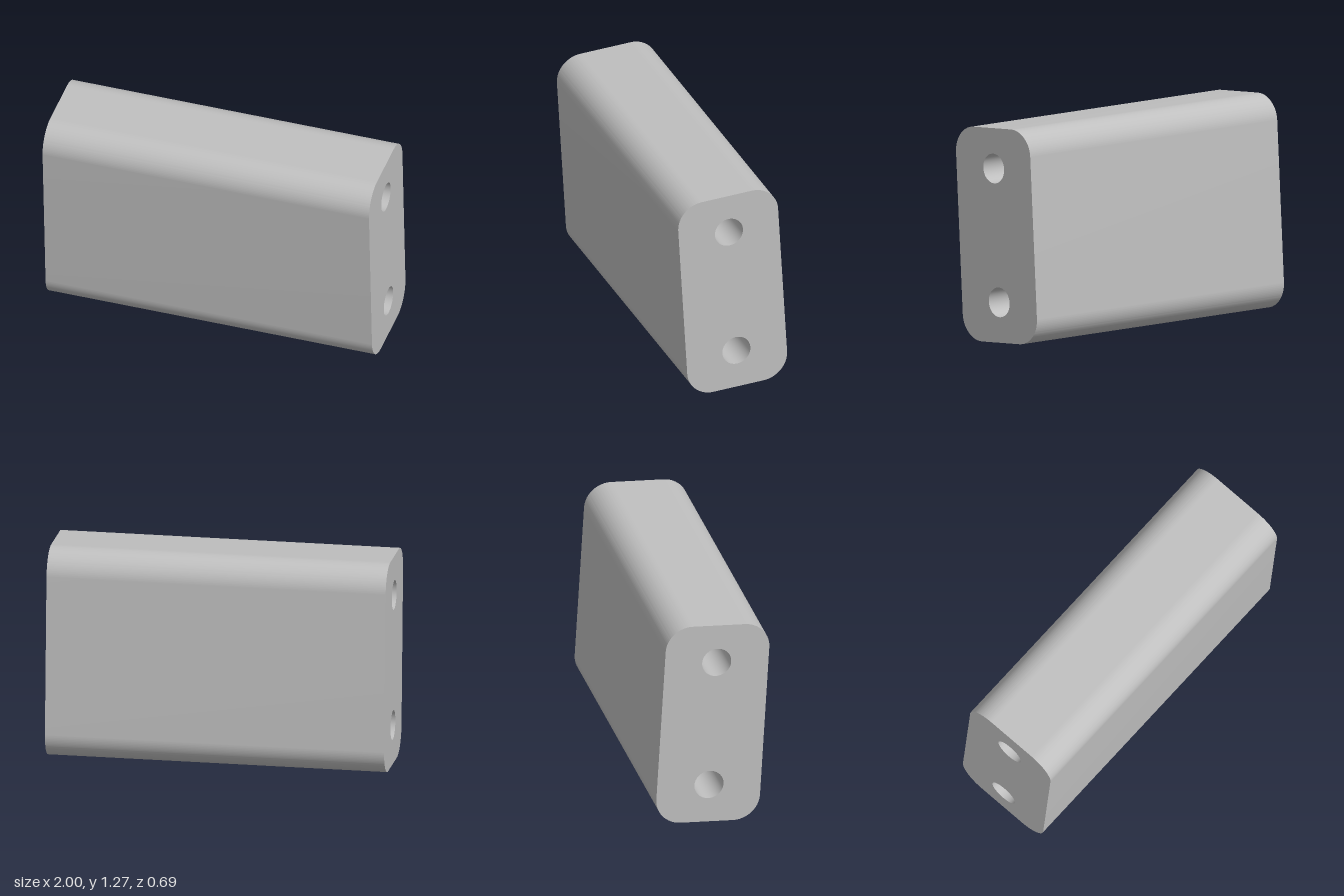
import * as THREE from 'three';
import { toCreasedNormals } from 'three/addons/utils/BufferGeometryUtils.js';

const LENGTH = 1.994, WIDTH = 0.62, HEIGHT = 1.255, CORNER = 0.155;
const HOLE_RADIUS = 0.087, HOLE_OFFSET = 0.391;

// Rounded rectangle cross-section with two round holes
function crossSection() {
  const a = WIDTH / 2 - CORNER, b = HEIGHT / 2 - CORNER, q = Math.PI / 2;
  const shape = new THREE.Shape();
  [[a, b], [-a, b], [-a, -b], [a, -b]].forEach(([x, y], i) =>
    shape.absarc(x, y, CORNER, i * q, (i + 1) * q, false));
  shape.closePath();
  for (const side of [-1, 1]) {
    const hole = new THREE.Path();
    hole.absarc(0, side * HOLE_OFFSET, HOLE_RADIUS, 0, Math.PI * 2, true);
    shape.holes.push(hole);
  }
  return shape;
}

export function createModel() {
  const group = new THREE.Group();
  group.name = 'spacerBlock';
  const grey = new THREE.MeshStandardMaterial({ color: 0xbfbfbf });
  grey.name = 'light grey';

  // Long bar with both bores running through it
  let geometry = new THREE.ExtrudeGeometry(crossSection(), {
    depth: LENGTH, bevelEnabled: false, curveSegments: 24,
  });
  geometry.translate(0, 0, -LENGTH / 2);
  geometry.rotateY(Math.PI / 2);
  geometry = toCreasedNormals(geometry, 0.5);

  // Slight lean forward and slight turn
  geometry.rotateX(0.059);
  geometry.rotateY(-0.009);
  geometry.computeBoundingBox();
  geometry.translate(0, -geometry.boundingBox.min.y, 0);

  const bar = new THREE.Mesh(geometry, grey);
  bar.name = 'boredBar';
  group.add(bar);
  return group;
}
